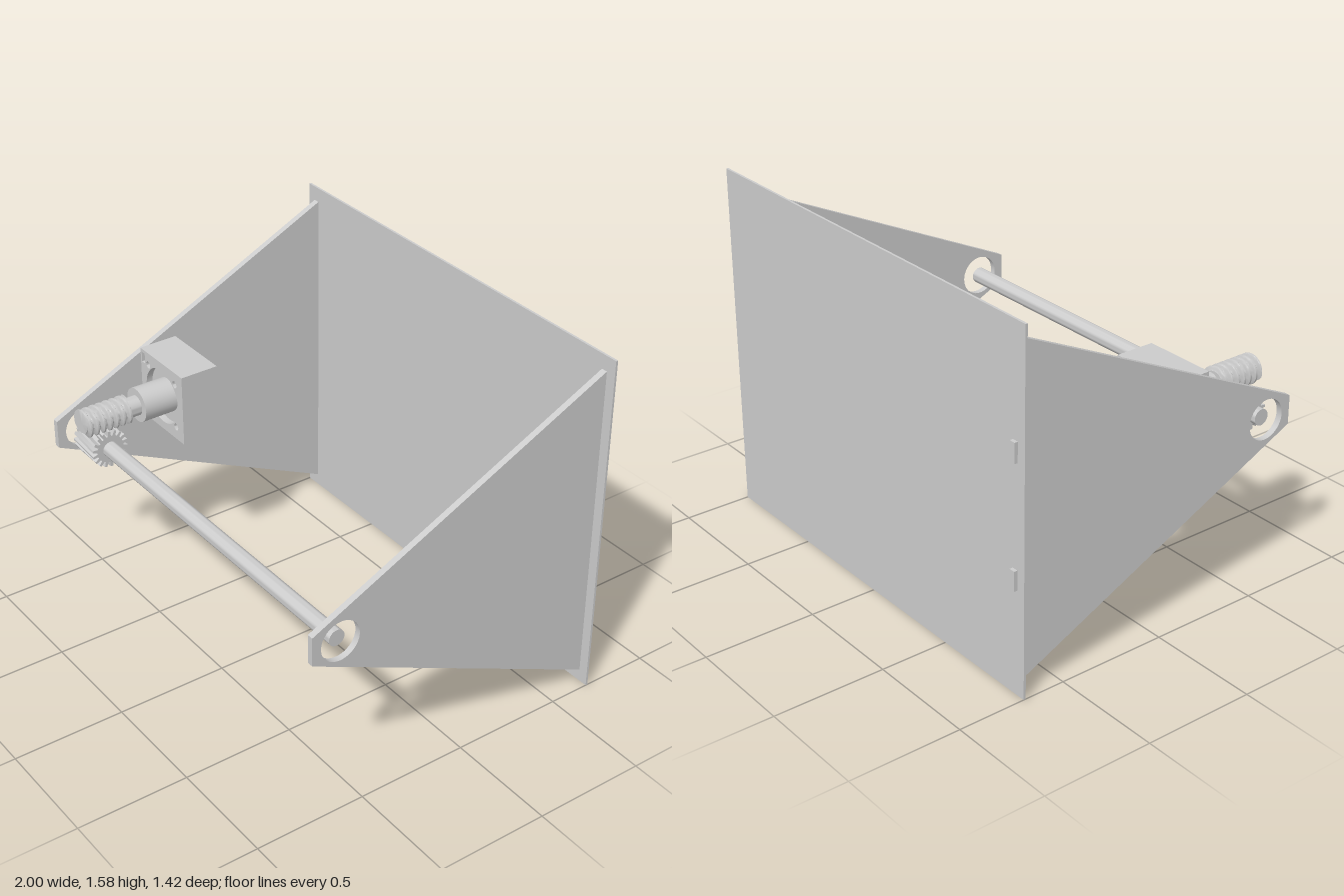
import * as THREE from 'three';
import { toCreasedNormals } from 'three/addons/utils/BufferGeometryUtils.js';

const material = new THREE.MeshStandardMaterial({ color: 0xcccccc });

function add(parent, name, geometry, x = 0, y = 0, z = 0) {
  const mesh = new THREE.Mesh(geometry, material);
  mesh.name = name;
  mesh.position.set(x, y, z);
  parent.add(mesh);
  return mesh;
}

const polygon = (points) => new THREE.Shape(points.map(([x, y]) => new THREE.Vector2(x, y)));
const circleHole = (x, y, r) => new THREE.Path().absarc(x, y, r, 0, Math.PI * 2, true);
const extrude = (shape, depth, steps = 1) =>
  new THREE.ExtrudeGeometry(shape, { depth, steps, bevelEnabled: false, curveSegments: 24 });
const rod = (r, length) => toCreasedNormals(new THREE.CylinderGeometry(r, r, length, 32), 0.6);

// Shaft axis (y, z) and worm axis (x, y)
const SHAFT = { y: 0.78, z: 0.58 };
const WORM = { x: -0.765, y: 0.91 };

// Tapered side panel with a bearing hole; tabs pass through the back panel
function sidePanel(withTabs) {
  const outline = [[-0.71, 0.72], [0.686, 0.055]];
  if (withTabs) {
    for (const y of [0.47, 1.01]) {
      outline.push([0.686, y], [0.71, y], [0.71, y + 0.087], [0.686, y + 0.087]);
    }
  }
  outline.push([0.686, 1.51], [-0.71, 0.85]);
  const shape = polygon(outline);
  shape.holes.push(circleHole(-SHAFT.z, SHAFT.y, 0.09));
  return toCreasedNormals(extrude(shape, 0.028).rotateY(Math.PI / 2), 0.6);
}

// Helical gear: toothed outline, twisted along its width
function helicalGear(teeth, rOuter, rRoot, width, twist) {
  const points = [];
  const step = (Math.PI * 2) / teeth;
  for (let i = 0; i < teeth; i++) {
    for (const [t, r] of [[-0.34, rRoot], [-0.18, rOuter], [0.18, rOuter], [0.34, rRoot]]) {
      const a = (i + t) * step;
      points.push([Math.cos(a) * r, Math.sin(a) * r]);
    }
  }
  const geometry = extrude(polygon(points), width, 6);
  const p = geometry.attributes.position;
  for (let i = 0; i < p.count; i++) {
    const a = (p.getZ(i) / width) * twist;
    const x = p.getX(i), y = p.getY(i);
    p.setXY(i, x * Math.cos(a) - y * Math.sin(a), x * Math.sin(a) + y * Math.cos(a));
  }
  return toCreasedNormals(geometry.rotateY(Math.PI / 2), 0.4);
}

// Worm thread: radius follows a trapezoid wave along a helix
function wormThread(rCore, rOuter, pitch, length) {
  const around = 36, rows = 98;
  const positions = [], index = [];
  for (let j = 0; j <= rows; j++) {
    const z = (j / rows) * length;
    for (let i = 0; i < around; i++) {
      const a = (i / around) * Math.PI * 2;
      const phase = (((z / pitch - i / around) % 1) + 1) % 1;
      const wave = THREE.MathUtils.clamp(1.7 - Math.abs(phase - 0.5) * 5, 0, 1);
      const r = rCore + (rOuter - rCore) * wave;
      positions.push(Math.cos(a) * r, Math.sin(a) * r, z);
      if (j < rows) {
        const n = (i + 1) % around;
        const p = j * around + i, q = j * around + n;
        index.push(p, q, q + around, p, q + around, p + around);
      }
    }
  }
  // End caps
  const centre = positions.length / 3;
  positions.push(0, 0, 0, 0, 0, length);
  for (let i = 0; i < around; i++) {
    const n = (i + 1) % around;
    index.push(centre, n, i, centre + 1, rows * around + i, rows * around + n);
  }
  const geometry = new THREE.BufferGeometry();
  geometry.setAttribute('position', new THREE.Float32BufferAttribute(positions, 3));
  geometry.setIndex(index);
  return toCreasedNormals(geometry, 0.7);
}

// Square motor with a recessed face, screw holes and a small slot
function motor() {
  const group = new THREE.Group();
  group.name = 'motor';
  group.position.set(WORM.x, WORM.y, 0);
  const h = 0.166;
  add(group, 'motorBody', new THREE.BoxGeometry(2 * h, 2 * h, 0.15), 0, 0, 0.17);

  const face = polygon([[-h, -h], [h, -h], [h, h], [-h, h]]);
  face.holes.push(circleHole(0, 0, 0.128));
  for (const x of [-0.106, 0.106]) {
    for (const y of [-0.106, 0.106]) face.holes.push(circleHole(x, y, 0.016));
  }
  face.holes.push(new THREE.Path([[-0.157, 0.102], [-0.157, 0.15], [-0.132, 0.15], [-0.132, 0.102]]
    .map(([x, y]) => new THREE.Vector2(x, y))));
  add(group, 'motorFace', toCreasedNormals(extrude(face, 0.03), 0.6), 0, 0, 0.245);

  add(group, 'motorCollar', rod(0.078, 0.165).rotateX(Math.PI / 2), 0, 0, 0.3225);
  add(group, 'motorShaft', rod(0.045, 0.1).rotateX(Math.PI / 2), 0, 0, 0.43);
  add(group, 'worm', wormThread(0.043, 0.065, 0.0325, 0.225), 0, 0, 0.453);
  return group;
}

export function createModel() {
  const model = new THREE.Group();
  model.name = 'wormDriveFrame';

  // Frame
  add(model, 'backPanel', new THREE.BoxGeometry(2, 1.575, 0.01), 0, 0.7875, -0.69);
  add(model, 'rightSidePanel', sidePanel(true), -0.959, 0, 0);
  add(model, 'leftSidePanel', sidePanel(false), 0.928, 0, 0);

  // Cross shaft with its gear
  add(model, 'crossShaft', rod(0.036, 1.865).rotateZ(Math.PI / 2), -0.0005, SHAFT.y, SHAFT.z);
  add(model, 'helicalGear', helicalGear(18, 0.087, 0.064, 0.162, 0.2), -0.868, SHAFT.y, SHAFT.z);

  // Drive
  model.add(motor());
  return model;
}
